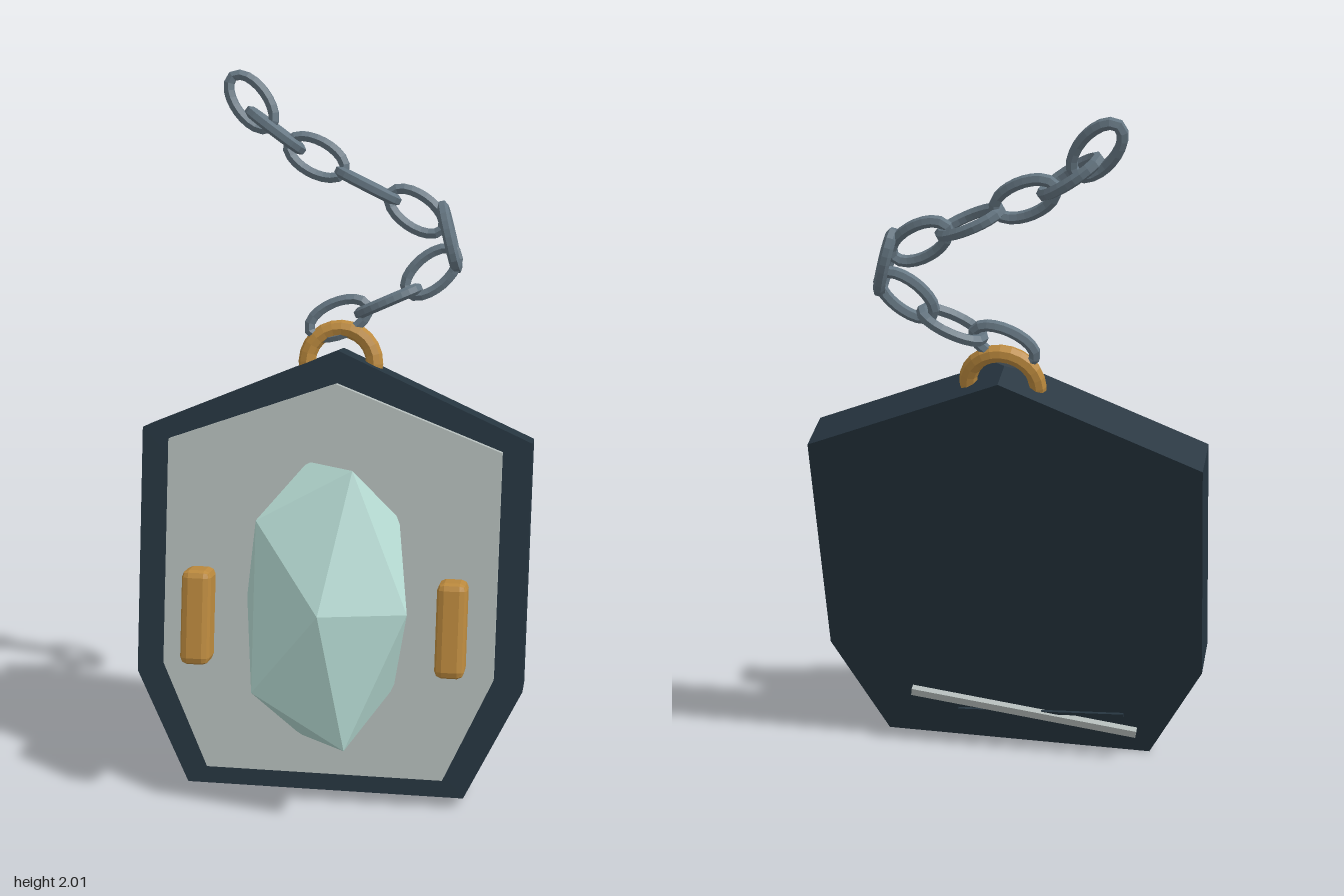
import * as THREE from 'three';
import { RoundedBoxGeometry } from 'three/addons/geometries/RoundedBoxGeometry.js';

const mat = (name, color, flatShading = true) => {
  const m = new THREE.MeshStandardMaterial({ color, flatShading });
  m.name = name;
  return m;
};

export function createModel() {
  const navy = mat('navy', 0x263540);
  const silver = mat('silver', 0xb4bcba);
  const crystal = mat('crystal', 0xb6dbd3);
  const gold = mat('gold', 0xbc8a3e);
  const steel = mat('steel', 0x657682);

  const model = new THREE.Group();
  model.name = 'pendant';

  // Everything leans back together around the lower back edge
  const lean = new THREE.Group();
  lean.name = 'leaningPendant';
  lean.rotation.x = -0.238;
  lean.position.set(0, 0.003, 0.083);
  model.add(lean);

  const add = (name, geometry, material, x = 0, y = 0, z = 0) => {
    const mesh = new THREE.Mesh(geometry, material);
    mesh.name = name;
    mesh.position.set(x, y, z);
    lean.add(mesh);
    return mesh;
  };

  // Seven-sided slab from its right-hand outline, mirrored
  const slab = (half, depth) => {
    const mirrored = half.slice(0, -1).reverse().map(([x, y]) => [-x, y]);
    const shape = new THREE.Shape([...half, ...mirrored].map(([x, y]) => new THREE.Vector2(x, y)));
    return new THREE.ExtrudeGeometry(shape, { depth, bevelEnabled: false });
  };
  add('casing', slab([[0.4, 0], [0.557, 0.32], [0.557, 1.03], [0, 1.27]], 0.138), navy);
  add('facePlate', slab([[0.34, 0.057], [0.475, 0.355], [0.475, 1.003], [0, 1.178]], 0.037), silver, 0, 0, 0.135);

  // Gem: stretched icosahedron with one corner facing forward
  const gem = new THREE.IcosahedronGeometry(1, 0);
  gem.rotateX(Math.atan(2 / (1 + Math.sqrt(5))));
  gem.rotateZ(Math.PI / 2);
  gem.scale(0.265, 0.463, 0.187);
  add('gem', gem, crystal, 0, 0.56, 0.246);

  // Side studs
  for (const side of [1, -1]) {
    add(side > 0 ? 'leftStud' : 'rightStud', new RoundedBoxGeometry(0.083, 0.268, 0.11, 1, 0.02), gold, side * 0.358, 0.518, 0.274);
  }

  // Hanging loop, its lower half sunk into the casing
  add('hangingLoop', new THREE.TorusGeometry(0.097, 0.025, 8, 24), gold, 0, 1.232, 0.066);

  // Chain links: x, height along the lean, angle; every second one turned edge-on
  const ellipse = [];
  for (let i = 0; i < 12; i++) {
    const a = (i / 12) * Math.PI * 2;
    ellipse.push(new THREE.Vector3(Math.cos(a) * 0.09, Math.sin(a) * 0.046, 0));
  }
  const linkGeometry = new THREE.TubeGeometry(new THREE.CatmullRomCurve3(ellipse, true), 20, 0.0165, 6, true);
  const links = [
    [-0.01, 1.358, 25], [0.13, 1.412, 25], [0.25, 1.498, 42],
    [0.298, 1.598, 105], [0.2, 1.668, 147], [0.06, 1.735, 155],
    [-0.09, 1.812, 153], [-0.21, 1.884, 145], [-0.282, 1.962, 128],
  ];
  links.forEach(([x, y, angle], i) => {
    const link = add('chainLink' + (i + 1), linkGeometry, steel, x, y, 0.068 - i * 0.003);
    link.rotation.set(i % 2 ? Math.PI / 2 : 0, 0, THREE.MathUtils.degToRad(angle), 'ZYX');
  });

  // Crossed thin bars behind the casing
  add('backBar', new THREE.BoxGeometry(0.68, 0.024, 0.02), silver, -0.03, 0.148, -0.039).rotation.z = 0.13;
  add('darkBackBar', new THREE.BoxGeometry(0.5, 0.01, 0.008), navy, -0.08, 0.148, -0.036).rotation.z = -0.07;

  return model;
}
